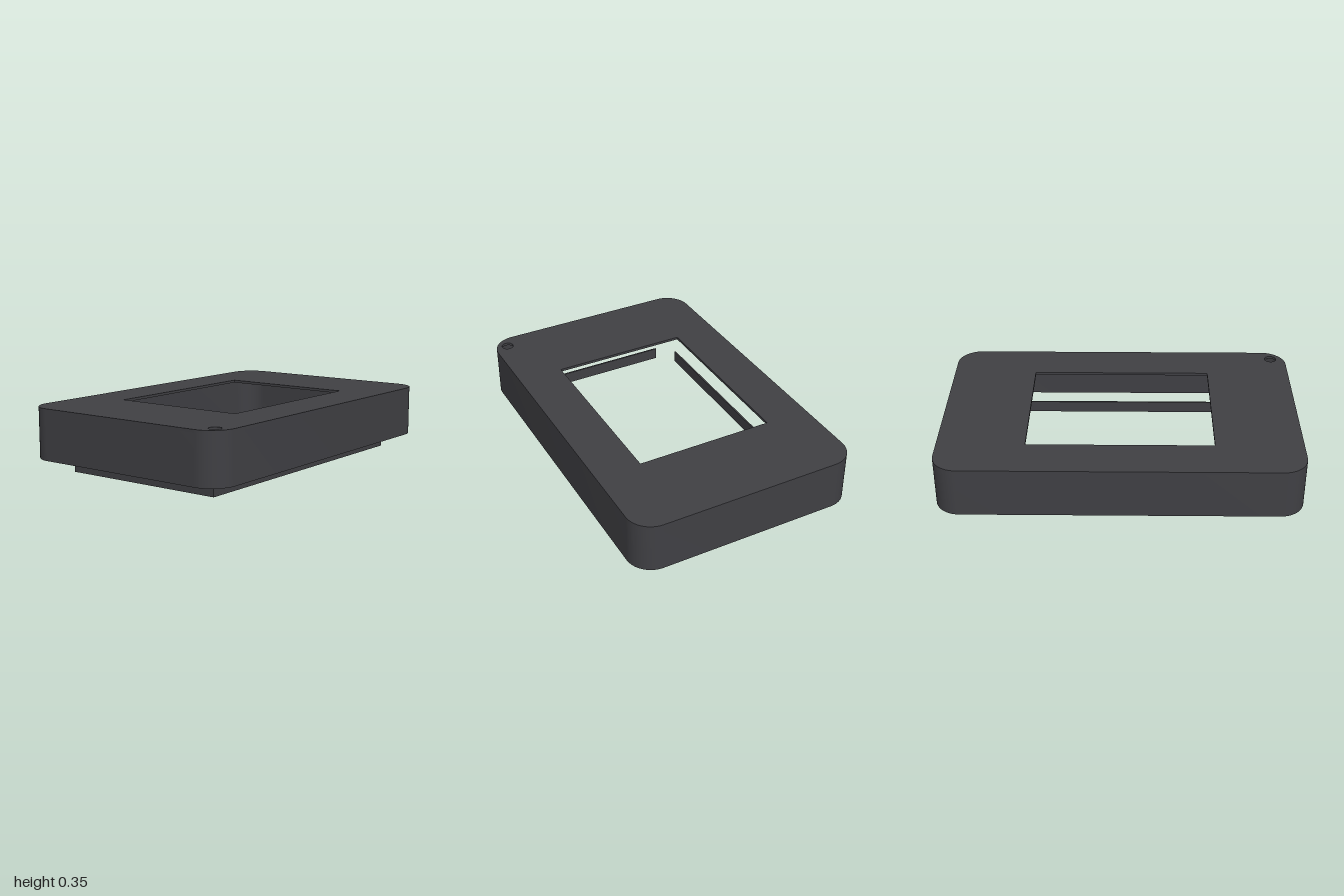
import * as THREE from 'three';
import { toCreasedNormals } from 'three/addons/utils/BufferGeometryUtils.js';

const TOP = 0.355, RIM = 0.07, WALL = 0.015, LIP = 0.01;

// Rounded rectangle centred on the origin
function roundedRect(Type, w, d, r) {
  const p = new Type(), x = w / 2, y = d / 2;
  p.moveTo(-x + r, -y);
  p.lineTo(x - r, -y);
  p.absarc(x - r, -y + r, r, -Math.PI / 2, 0);
  p.lineTo(x, y - r);
  p.absarc(x - r, y - r, r, 0, Math.PI / 2);
  p.lineTo(-x + r, y);
  p.absarc(-x + r, y - r, r, Math.PI / 2, Math.PI);
  p.lineTo(-x, -y + r);
  p.absarc(-x + r, -y + r, r, Math.PI, Math.PI * 1.5);
  return p;
}

// Extrude a plan shape upwards from y0 to y1 (shape y becomes -z)
function slab(name, shape, y0, y1, material) {
  let geo = new THREE.ExtrudeGeometry(shape, { depth: y1 - y0, bevelEnabled: false, curveSegments: 14 });
  geo.rotateX(-Math.PI / 2);
  geo.translate(0, y0, 0);
  geo = toCreasedNormals(geo, 0.6);
  const mesh = new THREE.Mesh(geo, material);
  mesh.name = name;
  return mesh;
}

export function createModel() {
  const model = new THREE.Group();
  model.name = 'displayBezel';
  const charcoal = new THREE.MeshStandardMaterial({ color: 0x404044 });
  charcoal.name = 'charcoal';

  // Thin side wall, open underneath
  const wall = roundedRect(THREE.Shape, 2, 1.3, 0.14);
  wall.holes.push(roundedRect(THREE.Path, 2 - 2 * WALL, 1.3 - 2 * WALL, 0.14 - WALL));
  model.add(slab('sideWall', wall, RIM, TOP - WALL, charcoal));

  // Face plate with the window and a small round corner hole
  const face = roundedRect(THREE.Shape, 2, 1.3, 0.14);
  const opening = new THREE.Path();
  opening.moveTo(-0.515, -0.39);
  opening.lineTo(-0.515, 0.395);
  opening.lineTo(0.515, 0.395);
  opening.lineTo(0.515, -0.39);
  opening.closePath();
  const cornerHole = new THREE.Path();
  cornerHole.absarc(-0.912, -0.57, 0.034, 0, Math.PI * 2, true);
  face.holes.push(opening, cornerHole);
  model.add(slab('facePlate', face, TOP - WALL, TOP, charcoal));

  // Two L-shaped locating lips on opposite corners, below the rim
  const lip = new THREE.Shape();
  lip.moveTo(0.875, 0.53);
  lip.lineTo(-0.775, 0.53);
  lip.lineTo(-0.775, 0.53 - LIP);
  lip.lineTo(0.875 - LIP, 0.53 - LIP);
  lip.lineTo(0.875 - LIP, -0.43);
  lip.lineTo(0.875, -0.43);
  lip.closePath();
  ['backRightLip', 'frontLeftLip'].forEach((name, i) => {
    const mesh = slab(name, lip, 0, RIM, charcoal);
    mesh.rotation.y = i * Math.PI;
    model.add(mesh);
  });

  return model;
}
